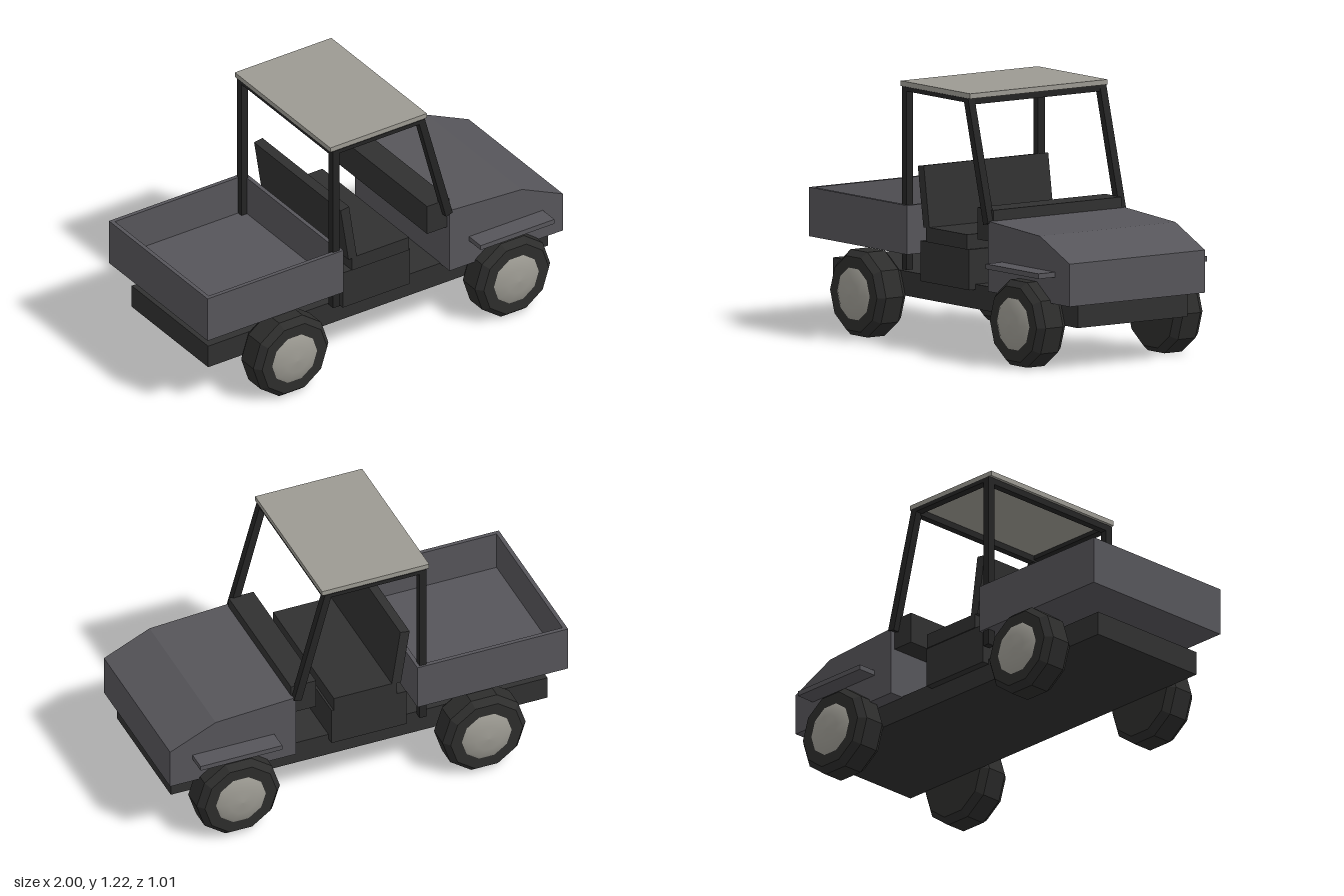
import * as THREE from 'three';

const mat = (name, color, extra = {}) => {
  const m = new THREE.MeshStandardMaterial({ color, ...extra });
  m.name = name;
  return m;
};

export function createModel() {
  const body = mat('slate body', 0x56555a);
  const dark = mat('charcoal seats and chassis', 0x303030);
  const frameMat = mat('black frame', 0x242424);
  const tyreMat = mat('tyre rubber', 0x2d2d2c);
  const pale = mat('pale grey', 0x9c9a92);

  const model = new THREE.Group();
  model.name = 'utilityCart';

  const add = (name, geometry, material, parent = model) => {
    const mesh = new THREE.Mesh(geometry, material);
    mesh.name = name;
    parent.add(mesh);
    return mesh;
  };
  // Box given by its extents on each axis
  const box = (name, material, [x0, x1], [y0, y1], [z0, z1], parent) => {
    const mesh = add(name, new THREE.BoxGeometry(x1 - x0, y1 - y0, z1 - z0), material, parent);
    mesh.position.set((x0 + x1) / 2, (y0 + y1) / 2, (z0 + z1) / 2);
    return mesh;
  };
  // Side profile in x and y, extruded across the width
  const slab = (name, material, points, z0, z1, parent) => {
    const shape = new THREE.Shape(points.map(([x, y]) => new THREE.Vector2(x, y)));
    const geometry = new THREE.ExtrudeGeometry(shape, { depth: z1 - z0, bevelEnabled: false });
    geometry.translate(0, 0, z0);
    return add(name, geometry, material, parent);
  };

  // Chassis
  box('chassis', dark, [-0.935, 0.965], [0.2, 0.315], [-0.318, 0.318]);

  // Bonnet with sloping nose
  slab('bonnet', body,
    [[0.365, 0.31], [1, 0.31], [1, 0.51], [0.77, 0.615], [0.365, 0.64]], -0.392, 0.392);

  // Dashboard
  box('dashboard', dark, [0.255, 0.38], [0.54, 0.69], [-0.37, 0.37]);

  // Open cargo bed
  const bed = new THREE.Group();
  bed.name = 'cargoBed';
  model.add(bed);
  box('bedFloor', body, [-1, -0.24], [0.415, 0.45], [-0.41, 0.41], bed);
  box('bedTailWall', body, [-1, -0.98], [0.45, 0.645], [-0.41, 0.41], bed);
  box('bedFrontWall', body, [-0.26, -0.24], [0.45, 0.645], [-0.41, 0.41], bed);
  for (const s of [-1, 1]) {
    box('bedSideWall', body, [-0.98, -0.26], [0.45, 0.645],
      s > 0 ? [0.39, 0.41] : [-0.41, -0.39], bed);
  }

  // Bench seat
  const seat = new THREE.Group();
  seat.name = 'benchSeat';
  model.add(seat);
  box('seatBase', dark, [-0.207, 0.17], [0.29, 0.48], [-0.355, 0.355], seat);
  box('seatCushion', dark, [-0.158, 0.16], [0.48, 0.55], [-0.36, 0.36], seat);
  slab('seatBack', dark,
    [[-0.178, 0.545], [-0.132, 0.55], [-0.175, 0.836], [-0.222, 0.829]], -0.36, 0.36, seat);

  // Roof panel and its frame
  box('roof', pale, [-0.305, 0.235], [1.198, 1.222], [-0.397, 0.397]);
  const frame = new THREE.Group();
  frame.name = 'roofFrame';
  model.add(frame);
  for (const s of [-1, 1]) {
    const outer = s > 0 ? [0.362, 0.4] : [-0.4, -0.362];
    box('rearPost', frameMat, [-0.291, -0.255], [0.34, 1.198], outer, frame);
    slab('frontPost', frameMat,
      [[0.34, 0.62], [0.378, 0.63], [0.222, 1.198], [0.186, 1.198]], ...outer, frame);
    box('sideRail', frameMat, [-0.29, 0.22], [1.178, 1.198], outer, frame);
  }
  box('rearCrossRail', frameMat, [-0.29, -0.256], [1.168, 1.198], [-0.37, 0.37], frame);
  box('frontCrossRail', frameMat, [0.19, 0.223], [1.168, 1.198], [-0.37, 0.37], frame);

  // Ten-sided wheels: bevelled tyre and domed hub, with the axis turned to z
  const ring = (points) => {
    const profile = points.map(([r, y]) => new THREE.Vector2(r, y));
    const geometry = new THREE.LatheGeometry(profile, 10, Math.PI / 10).toNonIndexed();
    geometry.rotateX(Math.PI / 2).rotateZ(Math.PI / 10);
    // Put a flat side on the ground
    const p = geometry.attributes.position;
    let low = 0, flat = 0;
    for (let i = 0; i < p.count; i++) low = Math.min(low, p.getY(i));
    for (let i = 0; i < p.count; i++) if (p.getY(i) < low + 1e-4 && Math.abs(p.getX(i)) < 1e-4) flat++;
    if (flat) geometry.rotateZ(Math.PI / 10);
    return geometry;
  };
  const tyre = ring([[0, -0.0825], [0.182, -0.0825], [0.21, -0.05], [0.21, 0.05], [0.182, 0.0825], [0, 0.0825]]);
  tyre.computeVertexNormals();
  const hub = ring([[0.132, 0], [0.11, 0.012], [0.065, 0.025], [0, 0.03]]);

  for (const x of [-0.56, 0.68]) {
    for (const s of [-1, 1]) {
      const wheel = new THREE.Group();
      wheel.name = x > 0 ? 'frontWheel' : 'rearWheel';
      add('tyre', tyre, tyreMat, wheel);
      add('hub', hub, pale, wheel).position.z = 0.079;
      wheel.position.set(x, 0.2, s * 0.3975);
      if (s < 0) wheel.rotation.y = Math.PI;
      model.add(wheel);
    }
  }

  // Flat fenders over the front wheels
  for (const s of [-1, 1]) {
    box('fender', body, [0.475, 0.887], [0.436, 0.46], s > 0 ? [0.38, 0.488] : [-0.488, -0.38]);
  }

  return model;
}
